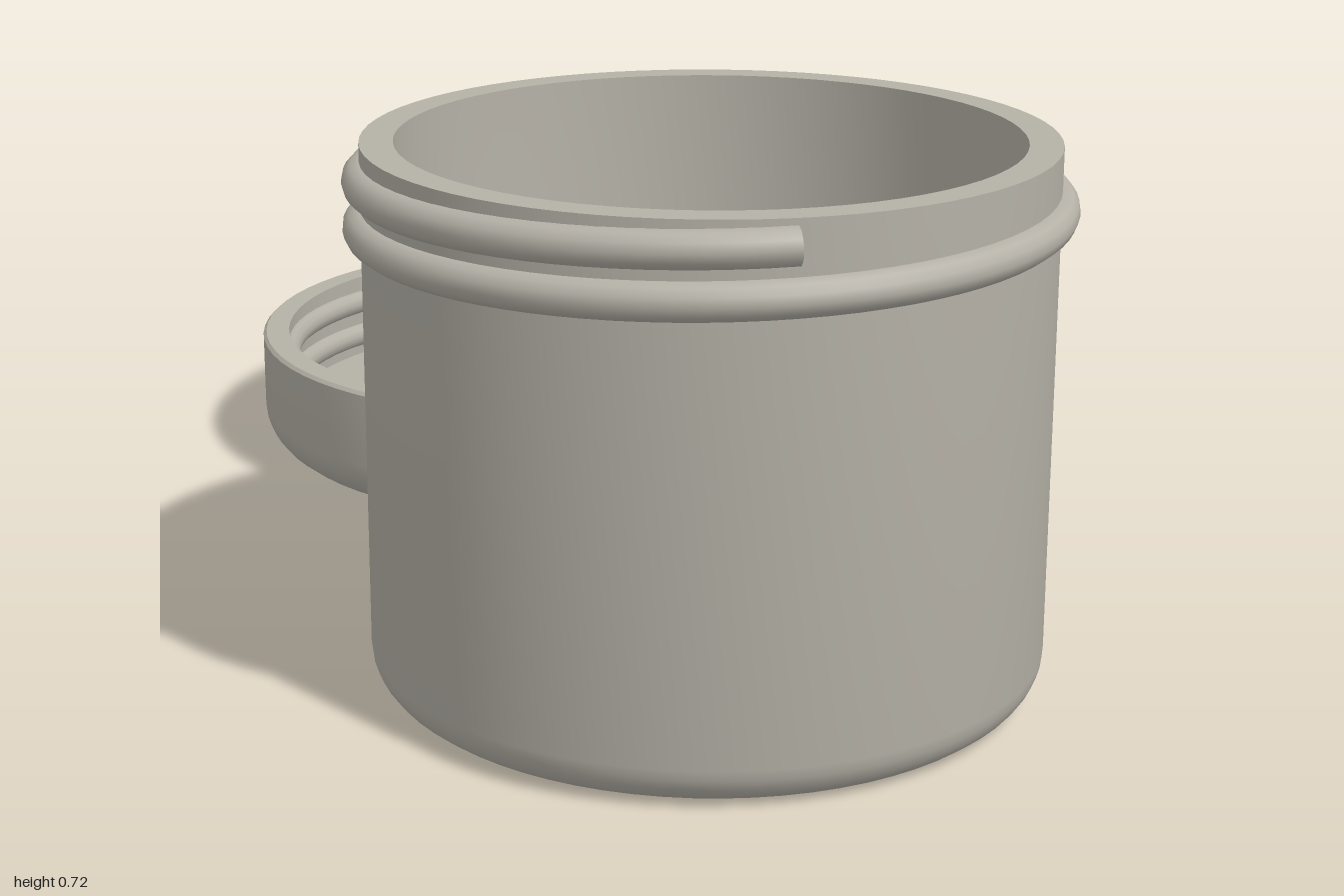
import * as THREE from 'three';
import { toCreasedNormals } from 'three/addons/utils/BufferGeometryUtils.js';

const grey = new THREE.MeshStandardMaterial({ color: 0xb5b1a7 });
grey.name = 'warm grey';

function addMesh(parent, geometry, name) {
  const mesh = new THREE.Mesh(geometry, grey);
  mesh.name = name;
  parent.add(mesh);
  return mesh;
}

// Quarter-round profile points about (cx, cy), from angle a to b
function arc(cx, cy, r, a, b, n = 6) {
  return Array.from({ length: n + 1 }, (_, i) => {
    const t = a + ((b - a) * i) / n;
    return new THREE.Vector2(cx + r * Math.cos(t), cy + r * Math.sin(t));
  });
}

function turned(profile) {
  return toCreasedNormals(new THREE.LatheGeometry(profile, 72), 0.6);
}

// Screw thread: falls one pitch per turn, from the front round by -x to the back
class Helix extends THREE.Curve {
  constructor(radius, top, pitch, turns) {
    super();
    Object.assign(this, { radius, top, pitch, turns });
  }
  getPoint(t, target = new THREE.Vector3()) {
    const a = t * this.turns * Math.PI * 2;
    return target.set(
      -this.radius * Math.sin(a),
      this.top - this.pitch * this.turns * t,
      this.radius * Math.cos(a)
    );
  }
}

function addThread(parent, radius, top, thickness, name) {
  const group = new THREE.Group();
  group.name = name;
  parent.add(group);
  const path = new Helix(radius, top, 0.06, 1.5);
  addMesh(group, new THREE.TubeGeometry(path, 120, thickness, 12), 'threadRidge');
  // Blunt ends
  for (const t of [0, 1]) {
    const cap = addMesh(group, new THREE.CircleGeometry(thickness, 12), 'threadEnd');
    const outward = path.getTangent(t).multiplyScalar(t ? 1 : -1);
    cap.position.copy(path.getPoint(t));
    cap.quaternion.setFromUnitVectors(new THREE.Vector3(0, 0, 1), outward);
  }
}

export function createModel() {
  const model = new THREE.Group();
  model.name = 'jarWithLid';
  const V = (x, y) => new THREE.Vector2(x, y);
  const H = Math.PI / 2;

  // Open jar with rounded base, inside and out
  const jar = new THREE.Group();
  jar.name = 'jar';
  jar.position.z = 0.534;
  model.add(jar);
  addMesh(jar, turned([
    V(0, 0),
    ...arc(0.388, 0.055, 0.055, -H, 0),
    V(0.443, 0.722),
    V(0.4, 0.722),
    ...arc(0.35, 0.09, 0.05, 0, -H),
    V(0, 0.04),
  ]), 'jarBody');
  addThread(jar, 0.442, 0.69, 0.024, 'jarThread');

  // Lid lying upside down behind the jar
  const lid = new THREE.Group();
  lid.name = 'lid';
  lid.position.z = -0.49;
  model.add(lid);
  addMesh(lid, turned([
    V(0, 0),
    ...arc(0.44, 0.07, 0.07, -H, 0),
    V(0.51, 0.185),
    V(0.505, 0.19),
    V(0.468, 0.19),
    V(0.468, 0.05),
    V(0, 0.05),
  ]), 'lidShell');
  addThread(lid, 0.47, 0.168, 0.02, 'lidThread');

  return model;
}
